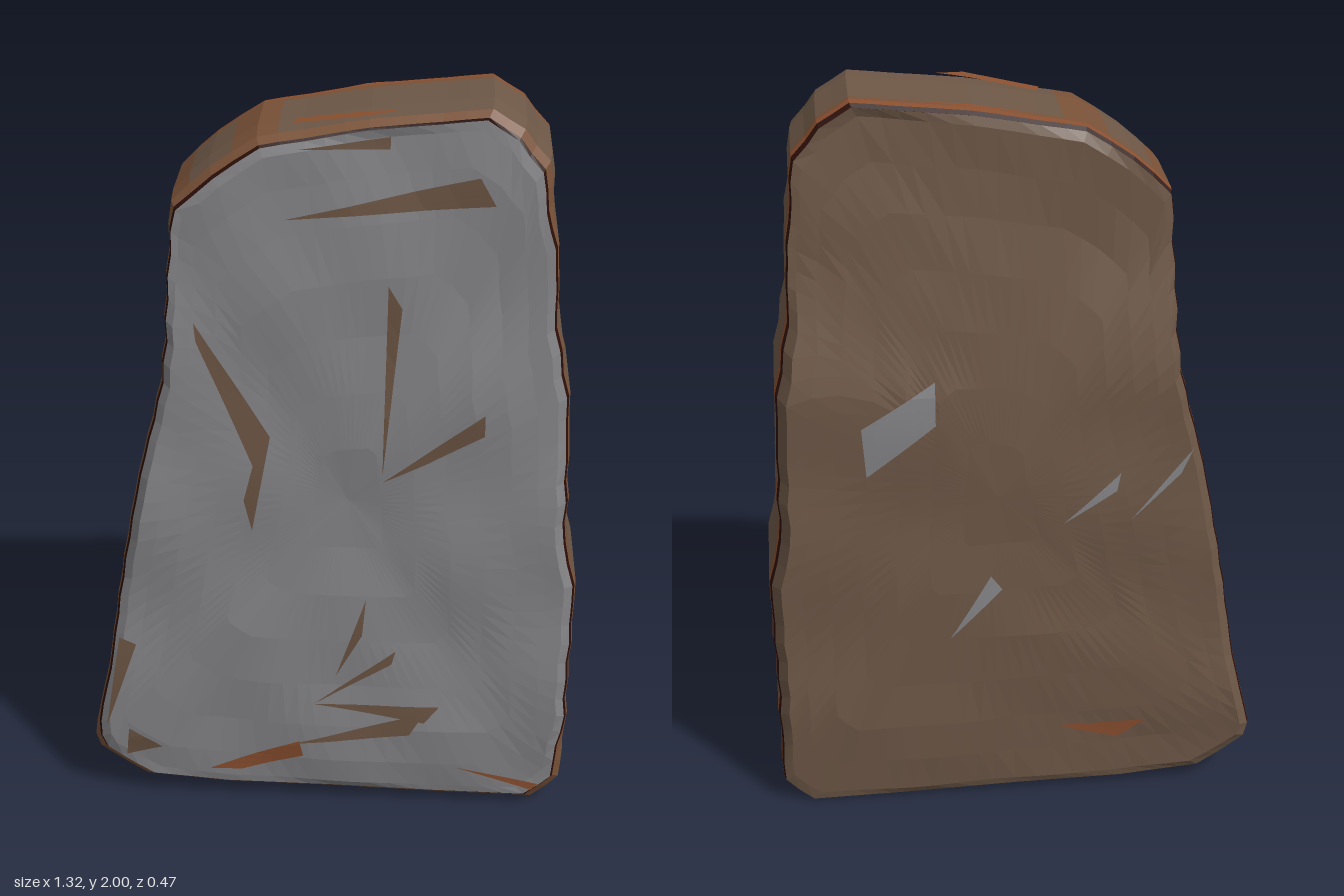
import * as THREE from 'three';

const mat = (name, color, extra = {}) =>
  Object.assign(new THREE.MeshStandardMaterial({ color, flatShading: true, ...extra }), { name });

// Piecewise linear lookup through [key, value] pairs
function lerpTable(table, k) {
  for (let i = 1; i < table.length; i++) {
    const [a, va] = table[i - 1], [b, vb] = table[i];
    if (k <= b) return va + (vb - va) * THREE.MathUtils.clamp((k - a) / (b - a), 0, 1);
  }
  return table[table.length - 1][1];
}

// Slab silhouette, counter-clockwise seen from the front
const OUTLINE = [
  [-0.65, 0.13], [-0.52, 0.04], [-0.3, 0.02], [0, 0.015], [0.3, 0.005], [0.57, 0], [0.645, 0.07],
  [0.65, 0.4], [0.655, 0.7], [0.625, 0.83], [0.615, 1.25], [0.575, 1.44], [0.57, 1.6], [0.545, 1.87],
  [0.48, 1.95], [0.4, 2], [0.1, 1.97], [-0.18, 1.92], [-0.3, 1.84], [-0.395, 1.75], [-0.41, 1.5],
  [-0.43, 1.27], [-0.5, 1], [-0.55, 0.75], [-0.605, 0.4], [-0.66, 0.17],
];

// Split long outline edges and roughen them a little
function resample(points, step) {
  const out = [];
  points.forEach(([ax, ay], i) => {
    const [bx, by] = points[(i + 1) % points.length];
    const n = Math.max(1, Math.round(Math.hypot(bx - ax, by - ay) / step));
    for (let k = 0; k < n; k++) {
      const t = k / n, x = ax + (bx - ax) * t, y = ay + (by - ay) * t;
      const rough = k ? 0.004 * Math.sin(x * 31 + y * 47) : 0;
      out.push([x + rough, Math.max(0, y)]);
    }
  });
  return out;
}

// Uneven hewn surface of the two broad faces
const bump = (x, y, p) =>
  0.005 * Math.sin(7 * x + 5 * y + p) + 0.004 * Math.sin(13 * y - 6 * x + 2 * p) +
  0.003 * Math.sin(17 * x + 11 * y + 3 * p);
const FRONT = [[0, 0.19], [0.2, 0.217], [1.2, 0.22], [1.6, 0.205], [1.85, 0.197], [2, 0.185]];
const BACK = [[0, 0.19], [0.3, 0.215], [1.25, 0.215], [1.45, 0.185], [1.6, 0.162], [2, 0.142]];
const RIM = [[0, 0.175], [1.25, 0.17], [1.5, 0.147], [2, 0.132]];
const FRONT_INSET = [[0, 0.035], [0.15, 0.03], [0.25, 0.01], [1.65, 0.01], [1.8, 0.028], [2, 0.028]];
const frontZ = (x, y) => lerpTable(FRONT, y) + bump(x, y, 0);
const backZ = (x, y) => -lerpTable(BACK, y) + bump(x, y, 2);
const rimZ = (y) => -lerpTable(RIM, y);
const frontInset = (y) => lerpTable(FRONT_INSET, y);

const outline = resample(OUTLINE, 0.06);
const CX = 0.05, CY = 0.95;
// Ring of points: the outline pulled in by inset(y), at depth z(x, y)
const ring = (inset, z) => outline.map(([px, py]) => {
  const d = inset(py);
  const x = px - (px - CX) * d / 0.58, y = py - (py - CY) * d / 0.98;
  return [x, y, z(x, y)];
});
// Ring of points: the outline scaled about the middle of the face
const scaledRing = (s, z) => outline.map(([px, py]) => {
  const x = CX + (px - CX) * s, y = CY + (py - CY) * s;
  return [x, y, z(x, y)];
});

// Skin between successive rings; keep(i) selects outline segments
function skin(rings, material, name, keep = () => true) {
  const pos = [], n = outline.length;
  for (let j = 0; j < rings.length - 1; j++) {
    for (let i = 0; i < n; i++) {
      if (!keep(i)) continue;
      const k = (i + 1) % n;
      const a = rings[j][i], b = rings[j + 1][i], c = rings[j + 1][k], d = rings[j][k];
      pos.push(...a, ...b, ...c, ...a, ...c, ...d);
    }
  }
  return meshFrom(pos, material, name);
}

function meshFrom(pos, material, name) {
  const g = new THREE.BufferGeometry();
  g.setAttribute('position', new THREE.Float32BufferAttribute(pos, 3));
  g.computeVertexNormals();
  const m = new THREE.Mesh(g, material);
  m.name = name;
  return m;
}

// Thin chip lying on a surface; at(x, y) gives the point, the polygon is split finely
function chip(poly, place, material, name) {
  const pos = [], N = 6;
  const flat = poly.map(([x, y]) => new THREE.Vector2(x, y));
  for (const tri of THREE.ShapeUtils.triangulateShape(flat, [])) {
    const [a, b, c] = tri.map((i) => flat[i]);
    const at = (u, v) => place(
      a.x + (b.x - a.x) * u / N + (c.x - a.x) * v / N,
      a.y + (b.y - a.y) * u / N + (c.y - a.y) * v / N);
    for (let u = 0; u < N; u++) for (let v = 0; v < N - u; v++) {
      pos.push(...at(u, v), ...at(u + 1, v), ...at(u, v + 1));
      if (u + v < N - 1) pos.push(...at(u + 1, v), ...at(u + 1, v + 1), ...at(u, v + 1));
    }
  }
  return meshFrom(pos, material, name);
}
const onFront = (x, y) => [x, y, frontZ(x, y) + 0.006];
const onBack = (x, y) => [x, y, backZ(x, y) - 0.006];
const TOP = [[-0.18, 1.92], [0.1, 1.97], [0.4, 2]];
const onTop = (x, z) => [x, lerpTable(TOP, x) + 0.004, z];

const FRONT_CHIPS = [
  [[-0.34, 1.44], [-0.15, 1.13], [-0.2, 0.86], [-0.22, 0.95], [-0.195, 1.05], [-0.335, 1.39]],
  [[-0.11, 1.715], [0.37, 1.83], [0.41, 1.76]],
  [[0.15, 1.55], [0.185, 1.49], [0.14, 1.03]],
  [[0.14, 1.01], [0.4, 1.21], [0.4, 1.15], [0.26, 1.07]],
  [[0.02, 0.42], [0.1, 0.66], [0.09, 0.55]],
  [[-0.04, 0.33], [0.18, 0.5], [0.17, 0.46]],
  [[-0.04, 0.33], [0.3, 0.33], [0.26, 0.28]],
  [[-0.1, 0.2], [0.26, 0.31], [0.22, 0.24]],
  [[-0.61, 0.24], [-0.52, 0.5], [-0.565, 0.52]],
  [[-0.55, 0.23], [-0.46, 0.17], [-0.56, 0.14]],
  [[-0.07, 1.895], [0.15, 1.895], [0.15, 1.925]],
];
const FRONT_RUST_CHIPS = [
  [[-0.33, 0.1], [-0.08, 0.21], [-0.07, 0.16], [-0.24, 0.1]],
  [[0.35, 0.13], [0.58, 0.07], [0.56, 0.05]],
];
const BACK_CHIPS = [
  [[0.4, 1.17], [0.21, 1.29], [0.21, 1.17], [0.39, 1.03]],
  [[-0.12, 0.865], [-0.27, 1.01], [-0.26, 0.96]],
  [[-0.3, 0.875], [-0.46, 1.07], [-0.43, 1]],
  [[0.18, 0.53], [0.07, 0.715], [0.04, 0.675]],
];
const TOP_CHIPS = [
  [[-0.08, 0.1], [0.17, 0.147], [0.1, 0.172], [-0.09, 0.135]],
  [[-0.06, -0.09], [0.08, -0.11], [0.25, -0.09]],
];

export function createModel() {
  const grey = mat('grey stone', 0x858487);
  const brown = mat('brown stone', 0x6e5847);
  const worn = mat('worn brown', 0x7a5238);
  const rust = mat('rust edge', 0x8c5030);
  const under = mat('rust underside', 0x9a5431);
  const dark = mat('dark crevice', 0x2c0e08);
  const chipBrown = mat('brown chip', 0x6b5443, { side: THREE.DoubleSide });
  const chipGrey = mat('grey chip', 0x858487, { side: THREE.DoubleSide });
  const chipRust = mat('rust chip', 0x8c5030, { side: THREE.DoubleSide });
  const group = new THREE.Group();
  group.name = 'stoneSlab';

  // Broad faces
  const scales = [0, 0.15, 0.3, 0.45, 0.6, 0.74, 0.86];
  const frontEdge = ring(frontInset, (x, y) => Math.min(0.198, lerpTable(FRONT, y) - 0.003));
  const backEdge = ring(() => 0.007, (x, y) => rimZ(y) - 0.01);
  group.add(skin([...scales.map((s) => scaledRing(s, frontZ)),
    ring((y) => frontInset(y) + 0.022, frontZ), frontEdge], grey, 'frontFace'));
  group.add(skin([backEdge, ring(() => 0.03, backZ), ...scales.map((s) => scaledRing(s, backZ)).reverse()],
    brown, 'backFace'));

  // Narrow bands around the side, front to back
  const frontLine = ring((y) => frontInset(y) - 0.006, () => 0.184);
  const sideFront = ring((y) => frontInset(y) * 0.4 - 0.004, () => 0.162);
  const sideMid = ring(() => 0, () => 0.09);
  const sideBack = ring(() => 0, (x, y) => rimZ(y) + 0.055);
  const rustBack = ring(() => 0, (x, y) => rimZ(y) + 0.035);
  const groove = ring(() => 0.002, (x, y) => rimZ(y) + 0.012);
  group.add(skin([frontEdge, frontLine], dark, 'frontRim'));
  group.add(skin([frontLine, sideFront], worn, 'frontEdge'));
  group.add(skin([sideBack, rustBack], worn, 'backWornBand'));
  group.add(skin([rustBack, groove], rust, 'backEdge'));
  group.add(skin([groove, ring(() => 0.01, (x, y) => rimZ(y)), backEdge], dark, 'backGroove'));

  // Side wall: rusty underside, worn shoulder corners, brown elsewhere
  const middle = (i) => {
    const [x, y] = outline[i], [u, v] = outline[(i + 1) % outline.length];
    return [(x + u) / 2, (y + v) / 2];
  };
  const isUnder = (i) => middle(i)[1] < 0.07;
  const isWorn = (i) => {
    const [x, y] = middle(i);
    return [[-0.395, 1.75], [-0.18, 1.92]].some(([a, b]) => Math.hypot(x - a, y - b) < 0.04);
  };
  const wall = [sideFront, sideMid, sideBack];
  group.add(skin(wall, brown, 'sideWall', (i) => !isUnder(i) && !isWorn(i)));
  group.add(skin(wall, worn, 'shoulderCorners', isWorn));
  group.add(skin(wall, under, 'underside', isUnder));

  // Chips in the faces
  FRONT_CHIPS.forEach((p) => group.add(chip(p, onFront, chipBrown, 'frontChip')));
  FRONT_RUST_CHIPS.forEach((p) => group.add(chip(p, onFront, chipRust, 'frontRustChip')));
  BACK_CHIPS.forEach((p) => group.add(chip(p, onBack, chipGrey, 'backChip')));
  TOP_CHIPS.forEach((p) => group.add(chip(p, onTop, chipRust, 'topChip')));
  group.add(chip([[-0.11, 0.22], [-0.36, 0.225], [-0.28, 0.17]], onBack, chipRust, 'backRustChip'));
  return group;
}
